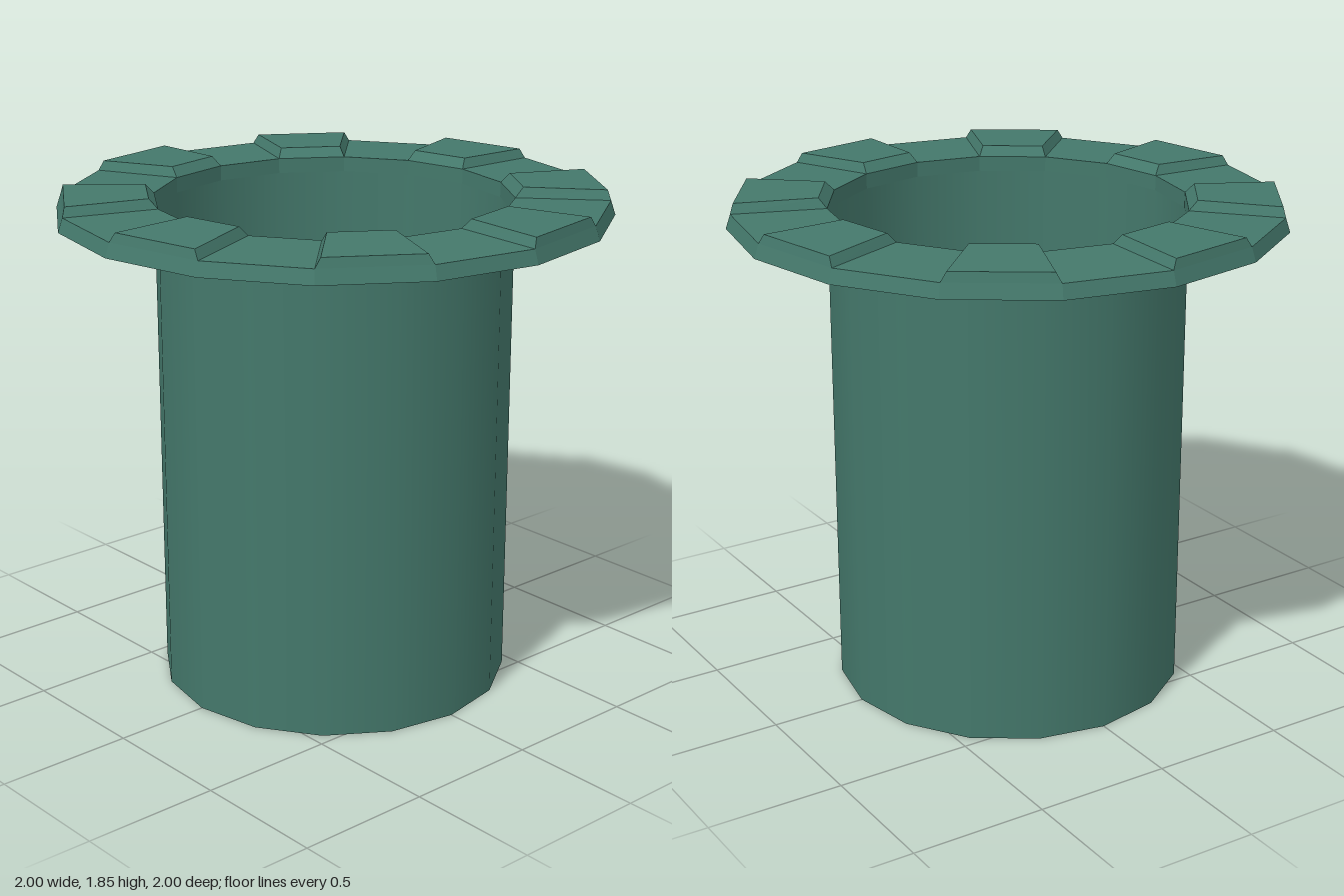
import * as THREE from 'three';

const SIDES = 16;
const TUBE_R = 0.645, TUBE_H = 1.76;

// Point at a ring corner, optionally shifted sideways along the ring
function corner(i, r, y, shift = 0) {
  const a = (i / SIDES) * Math.PI * 2;
  return [
    r * Math.sin(a) + shift * Math.cos(a), y,
    r * Math.cos(a) - shift * Math.sin(a),
  ];
}

// Flat-faced geometry from a list of four-cornered faces
function fromQuads(quads) {
  const pos = [];
  for (const [a, b, c, d] of quads) pos.push(...a, ...b, ...c, ...a, ...c, ...d);
  const g = new THREE.BufferGeometry();
  g.setAttribute('position', new THREE.Float32BufferAttribute(pos, 3));
  g.computeVertexNormals();
  return g;
}

export function createModel() {
  const group = new THREE.Group();
  const green = new THREE.MeshStandardMaterial({ color: 0x44786b, side: THREE.DoubleSide });
  green.name = 'dull green';

  const add = (name, geometry) => {
    const mesh = new THREE.Mesh(geometry, green);
    mesh.name = name;
    group.add(mesh);
  };

  // Smooth open tube
  const tube = new THREE.CylinderGeometry(TUBE_R, TUBE_R, TUBE_H, SIDES, 1, true);
  tube.translate(0, TUBE_H / 2, 0);
  add('tube', tube);

  // Rim shell, open underneath: sloped outer wall, inner band, low and raised sectors
  const outerWall = [], innerBand = [], lowSectors = [], raisedSectors = [];
  for (let i = 0; i < SIDES; i++) {
    const j = i + 1;
    const low = [
      corner(i, 0.983, 1.811), corner(j, 0.983, 1.811),
      corner(j, TUBE_R, 1.816), corner(i, TUBE_R, 1.816),
    ];
    outerWall.push([corner(i, 1, 1.76), corner(j, 1, 1.76), low[1], low[0]]);
    innerBand.push([corner(j, TUBE_R, TUBE_H), corner(i, TUBE_R, TUBE_H), low[3], low[2]]);

    if (i % 2) {
      lowSectors.push(low);
      continue;
    }
    // Raised block with bevelled sides
    const top = [
      corner(i, 0.971, 1.845, 0.018), corner(j, 0.971, 1.845, -0.018),
      corner(j, 0.673, 1.851, -0.018), corner(i, 0.673, 1.851, 0.018),
    ];
    raisedSectors.push(top);
    for (let k = 0; k < 4; k++) {
      const n = (k + 1) % 4;
      raisedSectors.push([low[k], low[n], top[n], top[k]]);
    }
  }
  add('rimOuterWall', fromQuads(outerWall));
  add('rimInnerBand', fromQuads(innerBand));
  add('rimLowSectors', fromQuads(lowSectors));
  add('rimRaisedSectors', fromQuads(raisedSectors));

  return group;
}
